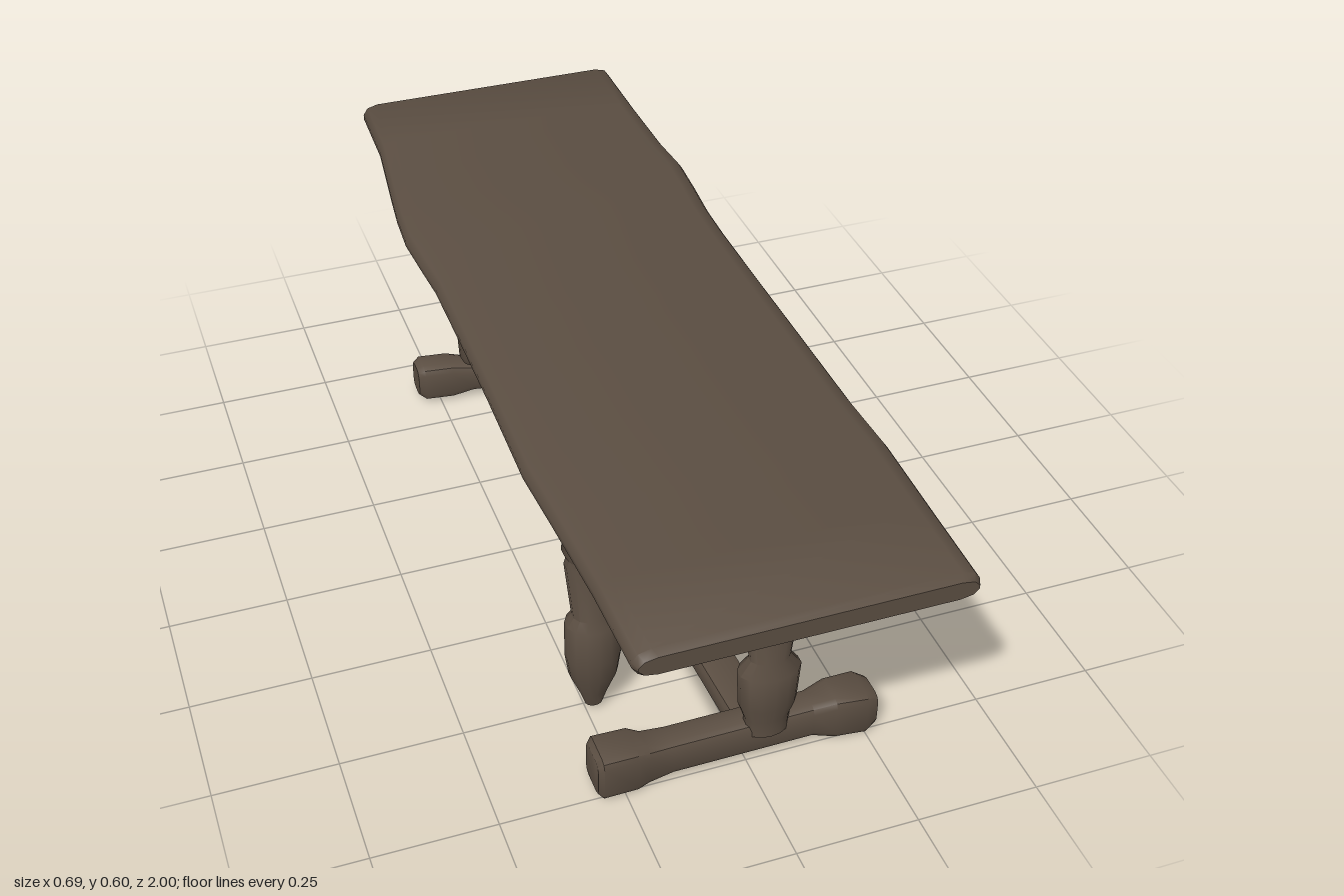
import * as THREE from 'three';
import { toCreasedNormals } from 'three/addons/utils/BufferGeometryUtils.js';

const wood = new THREE.MeshStandardMaterial({ color: 0x5b4e42 });
wood.name = 'dark wood';

// Bevelled beam along z, from sections [z, xMin, xMax, yMin, yMax]
function beamGeometry(sections, bevelX, bevelY) {
  const pos = [], index = [];
  for (const [z, x0, x1, y0, y1] of sections) {
    const bx = Math.min(bevelX, (x1 - x0) * 0.4), by = Math.min(bevelY, (y1 - y0) * 0.4);
    const ring = [
      [x0 + bx, y0], [x1 - bx, y0], [x1 - bx * 0.3, y0 + by * 0.3], [x1, y0 + by],
      [x1, y1 - by], [x1 - bx * 0.3, y1 - by * 0.3], [x1 - bx, y1], [x0 + bx, y1],
      [x0 + bx * 0.3, y1 - by * 0.3], [x0, y1 - by], [x0, y0 + by], [x0 + bx * 0.3, y0 + by * 0.3],
    ];
    for (const [x, y] of ring) pos.push(x, y, z);
  }
  const n = 12, last = (sections.length - 1) * n;
  for (let i = 0; i < last; i += n) {
    for (let j = 0; j < n; j++) {
      const k = (j + 1) % n;
      index.push(i + j, i + k, i + n + k, i + j, i + n + k, i + n + j);
    }
  }
  for (let j = 1; j < n - 1; j++) {
    index.push(0, j + 1, j, last, last + j, last + j + 1);
  }
  const geometry = new THREE.BufferGeometry();
  geometry.setAttribute('position', new THREE.Float32BufferAttribute(pos, 3));
  geometry.setIndex(index);
  return geometry;
}

function addMesh(group, name, geometry) {
  const mesh = new THREE.Mesh(toCreasedNormals(geometry, 0.75), wood);
  mesh.name = name;
  group.add(mesh);
  return mesh;
}

// Beam running along x: sections [x, zCentre, halfDepth, yMin, yMax]
function crossBeam(group, name, sections, bevel) {
  const turned = sections.map(([x, z, d, y0, y1]) => [x, -z - d, -z + d, y0, y1]);
  addMesh(group, name, beamGeometry(turned, bevel, bevel).rotateY(Math.PI / 2));
}

// Turned leg: [radius, y] profile, flattened in depth, optionally leaning along x
function leg(group, name, x, z, depth, profile, lean = 0) {
  const points = profile.map(([r, y]) => new THREE.Vector2(r, y));
  const geometry = new THREE.LatheGeometry(points, 14).scale(1, 1, depth);
  const p = geometry.attributes.position;
  for (let i = 0; i < p.count; i++) p.setX(i, p.getX(i) + lean * (p.getY(i) - 0.3));
  addMesh(group, name, geometry).position.set(x, 0, z);
}

export function createModel() {
  const group = new THREE.Group();

  // Plank top with wavy long edges
  const edges = [
    [-1, -0.295, 0.31], [-0.985, -0.302, 0.317], [-0.8, -0.308, 0.317], [-0.6, -0.332, 0.32],
    [-0.5, -0.343, 0.328], [-0.4, -0.349, 0.322], [-0.3, -0.343, 0.314], [-0.2, -0.336, 0.312],
    [0, -0.337, 0.313], [0.2, -0.339, 0.315], [0.45, -0.345, 0.317], [0.6, -0.336, 0.324],
    [0.8, -0.326, 0.32], [0.985, -0.322, 0.317], [1, -0.315, 0.31],
  ];
  const top = edges.map(([z, x0, x1], i) => {
    const inset = i === 0 || i === edges.length - 1 ? 0.009 : 0;
    return [z, x0, x1, 0.547 - z * 0.003 + inset, 0.603 - z * 0.003 - inset];
  });
  addMesh(group, 'tableTop', beamGeometry(top, 0.035, 0.022));

  // Legs
  const upper = [[0.042, 0.255], [0.055, 0.385], [0.05, 0.402], [0.059, 0.42], [0.055, 0.48], [0.066, 0.56]];
  const standing = [[0, 0.06], [0.045, 0.065], [0.047, 0.105], [0.059, 0.14], [0.064, 0.225], ...upper];
  const hanging = [[0, 0.008], [0.018, 0.014], [0.03, 0.05], [0.05, 0.1], [0.057, 0.15], [0.056, 0.235], ...upper];
  const shortLeg = [[0, 0.108], [0.026, 0.112], [0.037, 0.13], [0.05, 0.22], [0.048, 0.24],
    [0.036, 0.26], [0.044, 0.39], [0.04, 0.405], [0.05, 0.425], [0.048, 0.54]];
  leg(group, 'frontLeg', 0.045, 0.735, 0.66, standing);
  leg(group, 'frontInnerLeg', -0.232, 0.51, 0.82, hanging);
  leg(group, 'backLeg', 0.197, -0.53, 0.8, standing);
  leg(group, 'backShortLeg', -0.148, -0.57, 0.8, shortLeg, 0.1);

  // Foot beams with swollen ends
  crossBeam(group, 'frontFoot', [
    [-0.305, 0.72, 0.038, 0.014, 0.094], [-0.295, 0.72, 0.045, 0.004, 0.104],
    [-0.225, 0.72, 0.044, 0.004, 0.103], [-0.2, 0.72, 0.036, 0.006, 0.094],
    [-0.15, 0.72, 0.033, 0.014, 0.092], [0.14, 0.72, 0.033, 0.016, 0.094],
    [0.185, 0.72, 0.042, 0.006, 0.104], [0.25, 0.72, 0.046, 0.002, 0.1],
    [0.275, 0.72, 0.036, 0.012, 0.088],
  ], 0.016);
  crossBeam(group, 'backFoot', [
    [-0.3, -0.622, 0.03, 0.018, 0.09], [-0.285, -0.62, 0.038, 0.008, 0.1],
    [-0.22, -0.612, 0.038, 0.008, 0.1], [-0.17, -0.602, 0.032, 0.018, 0.092],
    [0.18, -0.548, 0.034, 0.018, 0.095], [0.24, -0.538, 0.045, 0.006, 0.115],
    [0.3, -0.532, 0.046, 0.006, 0.115], [0.335, -0.53, 0.042, 0.01, 0.1],
    [0.345, -0.53, 0.034, 0.018, 0.09],
  ], 0.018);

  // Long stretcher between the feet
  addMesh(group, 'stretcher', beamGeometry([
    [-0.58, -0.065, 0.015, 0.032, 0.088], [0.72, -0.012, 0.068, 0.028, 0.082],
  ], 0.014, 0.014));

  // Rails under the top
  crossBeam(group, 'frontRail', [
    [-0.19, 0.735, 0.045, 0.538, 0.56], [-0.14, 0.735, 0.05, 0.52, 0.56],
    [-0.05, 0.735, 0.052, 0.498, 0.56], [0.02, 0.735, 0.052, 0.49, 0.56],
    [0.11, 0.735, 0.052, 0.492, 0.56], [0.165, 0.735, 0.048, 0.507, 0.56],
    [0.178, 0.735, 0.044, 0.525, 0.56],
  ], 0.012);
  crossBeam(group, 'frontInnerRail', [
    [-0.276, 0.51, 0.044, 0.43, 0.56], [-0.265, 0.51, 0.048, 0.42, 0.56],
    [-0.18, 0.51, 0.048, 0.43, 0.56], [-0.165, 0.51, 0.045, 0.482, 0.56],
    [0.205, 0.51, 0.045, 0.482, 0.56], [0.222, 0.51, 0.038, 0.49, 0.56],
  ], 0.012);
  crossBeam(group, 'backRail', [
    [-0.22, -0.57, 0.03, 0.492, 0.56], [-0.2, -0.568, 0.04, 0.482, 0.56],
    [0.14, -0.535, 0.045, 0.482, 0.56], [0.23, -0.53, 0.046, 0.475, 0.56],
    [0.245, -0.53, 0.04, 0.485, 0.56],
  ], 0.012);

  return group;
}
